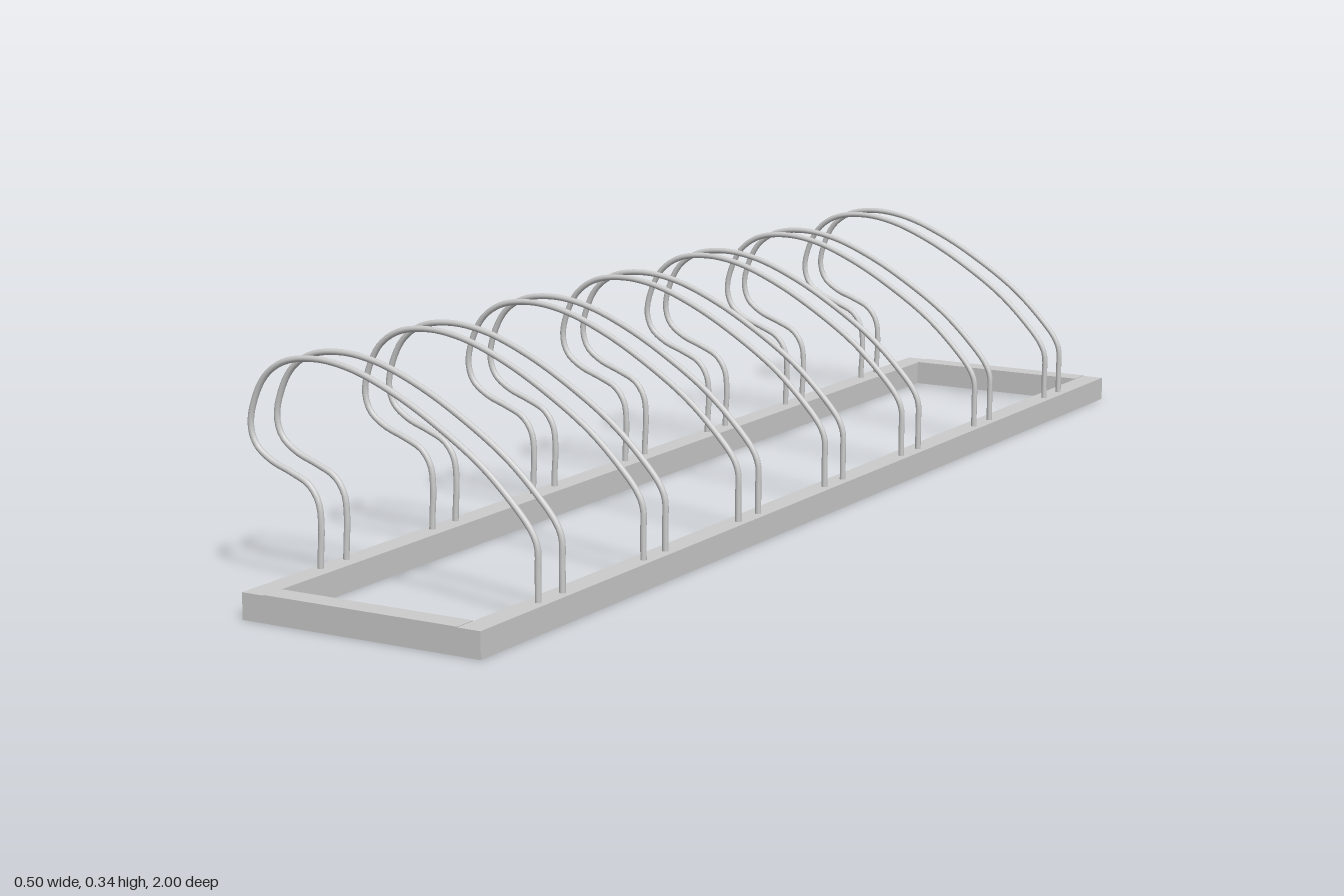
import * as THREE from 'three';

const material = new THREE.MeshStandardMaterial({ color: 0xcccccc });

// Side profile of one bent hoop (x, y), from the rear foot to the front foot
const HOOP = [
  [-0.130, 0.03], [-0.129, 0.06], [-0.127, 0.10], [-0.131, 0.134], [-0.147, 0.157],
  [-0.176, 0.171], [-0.212, 0.185], [-0.238, 0.205], [-0.247, 0.232], [-0.240, 0.268],
  [-0.219, 0.306], [-0.185, 0.329], [-0.131, 0.3375], [-0.069, 0.329], [0.003, 0.302],
  [0.074, 0.264], [0.146, 0.216], [0.199, 0.167], [0.226, 0.135], [0.2345, 0.115],
  [0.235, 0.08], [0.235, 0.03],
];

// Centres of the hoop pairs along the frame
const PAIRS = [-0.811, -0.529, -0.26, 0.001, 0.27, 0.539, 0.81];
const HALF_GAP = 0.03;

const X0 = -0.143, X1 = 0.25, BAR = 0.037;

function bar(name, x0, x1, z0, z1, height) {
  const mesh = new THREE.Mesh(new THREE.BoxGeometry(x1 - x0, height, z1 - z0), material);
  mesh.position.set((x0 + x1) / 2, height / 2, (z0 + z1) / 2);
  mesh.name = name;
  return mesh;
}

export function createModel() {
  const model = new THREE.Group();
  model.name = 'bicycleRack';

  // Rectangular ground frame
  const frame = new THREE.Group();
  frame.name = 'groundFrame';
  frame.add(
    bar('rightRail', X0, X0 + BAR, -1, 1, 0.039),
    bar('leftRail', X1 - BAR, X1, -1, 1, 0.039),
    bar('frontRail', X0 + BAR, X1 - BAR, 1 - BAR, 1, 0.04),
    bar('backRail', X0 + BAR, X1 - BAR, -1, -1 + BAR, 0.04),
  );
  model.add(frame);

  // Pairs of bent-tube hoops that hold the wheels
  const path = new THREE.CatmullRomCurve3(HOOP.map(([x, y]) => new THREE.Vector3(x, y, 0)));
  const hoopGeometry = new THREE.TubeGeometry(path, 96, 0.0046, 12);
  for (const z of PAIRS) {
    const pair = new THREE.Group();
    pair.name = 'wheelHolder';
    pair.position.z = z;
    for (const side of [-1, 1]) {
      const hoop = new THREE.Mesh(hoopGeometry, material);
      hoop.name = 'hoop';
      hoop.position.z = side * HALF_GAP;
      pair.add(hoop);
    }
    model.add(pair);
  }
  return model;
}
